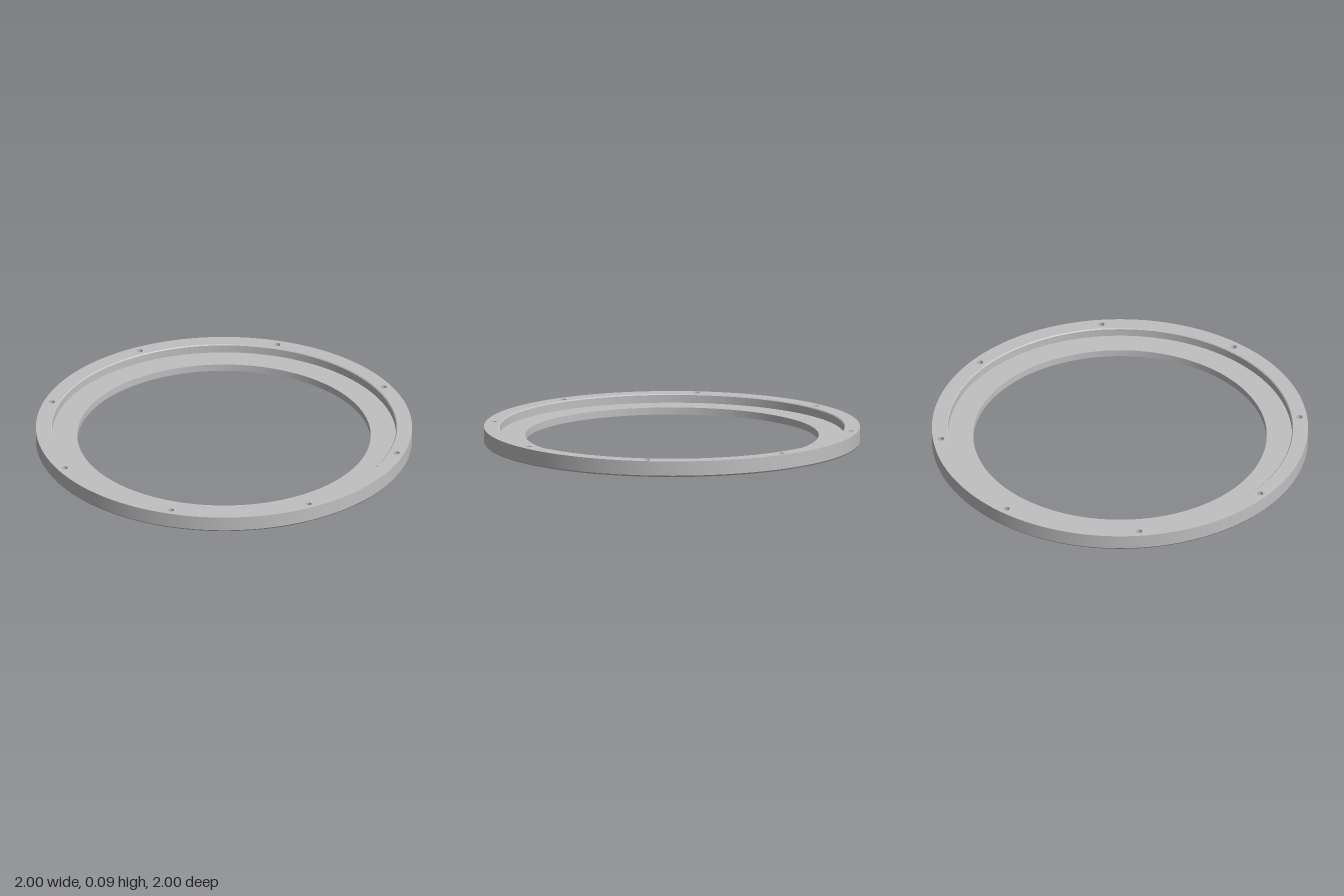
import * as THREE from 'three';

const SEG = 128, HOLE_SEG = 24;
const HEIGHT = 0.085, LEDGE = 0.038, INNER = 0.78, RECESS = 0.915;
const HOLE_R = 0.017, SINK_R = 0.032, SINK_DEPTH = 0.018, BOLT_CIRCLE = 0.958;

// evenly divided circle as a list of points
function circle(r, n, cx = 0, cy = 0) {
  return Array.from({ length: n }, (_, i) => {
    const a = (i / n) * Math.PI * 2;
    return new THREE.Vector2(cx + r * Math.cos(a), cy + r * Math.sin(a));
  });
}

// bolt centres, offset half a step from the axes
const bolts = Array.from({ length: 8 }, (_, i) => {
  const a = (i + 0.5) * Math.PI / 4;
  return [BOLT_CIRCLE * Math.cos(a), BOLT_CIRCLE * Math.sin(a)];
});

// flat annulus pierced by the bolt holes
function piercedFace(outer, inner, holeR) {
  const shape = new THREE.Shape(circle(outer, SEG));
  shape.holes.push(new THREE.Path(circle(inner, SEG)));
  for (const [x, y] of bolts) shape.holes.push(new THREE.Path(circle(holeR, HOLE_SEG, x, y)));
  return new THREE.ShapeGeometry(shape);
}

export function createModel() {
  const model = new THREE.Group();
  model.name = 'flangeRing';
  const metal = new THREE.MeshStandardMaterial({ color: 0xc0c0c0 });
  metal.name = 'light grey metal';

  const add = (name, geometry, parent = model) => {
    const mesh = new THREE.Mesh(geometry, metal);
    mesh.name = name;
    parent.add(mesh);
    return mesh;
  };
  // one lathe per straight profile segment keeps the edges crisp
  const band = (name, r0, y0, r1, y1, seg = SEG, parent = model) =>
    add(name, new THREE.LatheGeometry([new THREE.Vector2(r0, y0), new THREE.Vector2(r1, y1)], seg), parent);

  // turned surfaces of the ring
  band('outerBottomChamfer', 0.994, 0, 1, 0.008);
  band('outerWall', 1, 0.008, 1, HEIGHT);
  band('recessChamfer', RECESS + 0.005, HEIGHT, RECESS, HEIGHT - 0.005);
  band('recessWall', RECESS, HEIGHT - 0.005, RECESS, LEDGE);
  band('ledge', RECESS, LEDGE, INNER, LEDGE);
  band('boreWall', INNER, LEDGE, INNER, 0);

  // pierced flat faces
  const top = add('topFace', piercedFace(1, RECESS + 0.005, HOLE_R).rotateX(-Math.PI / 2));
  top.position.y = HEIGHT;
  add('bottomFace', piercedFace(0.994, INNER, SINK_R).rotateX(Math.PI / 2));

  // bolt holes, countersunk from below
  for (const [x, z] of bolts) {
    const hole = new THREE.Group();
    hole.name = 'boltHole';
    hole.position.set(x, 0, z);
    band('holeWall', HOLE_R, HEIGHT, HOLE_R, SINK_DEPTH, HOLE_SEG, hole);
    band('countersink', HOLE_R, SINK_DEPTH, SINK_R, 0, HOLE_SEG, hole);
    model.add(hole);
  }
  return model;
}
